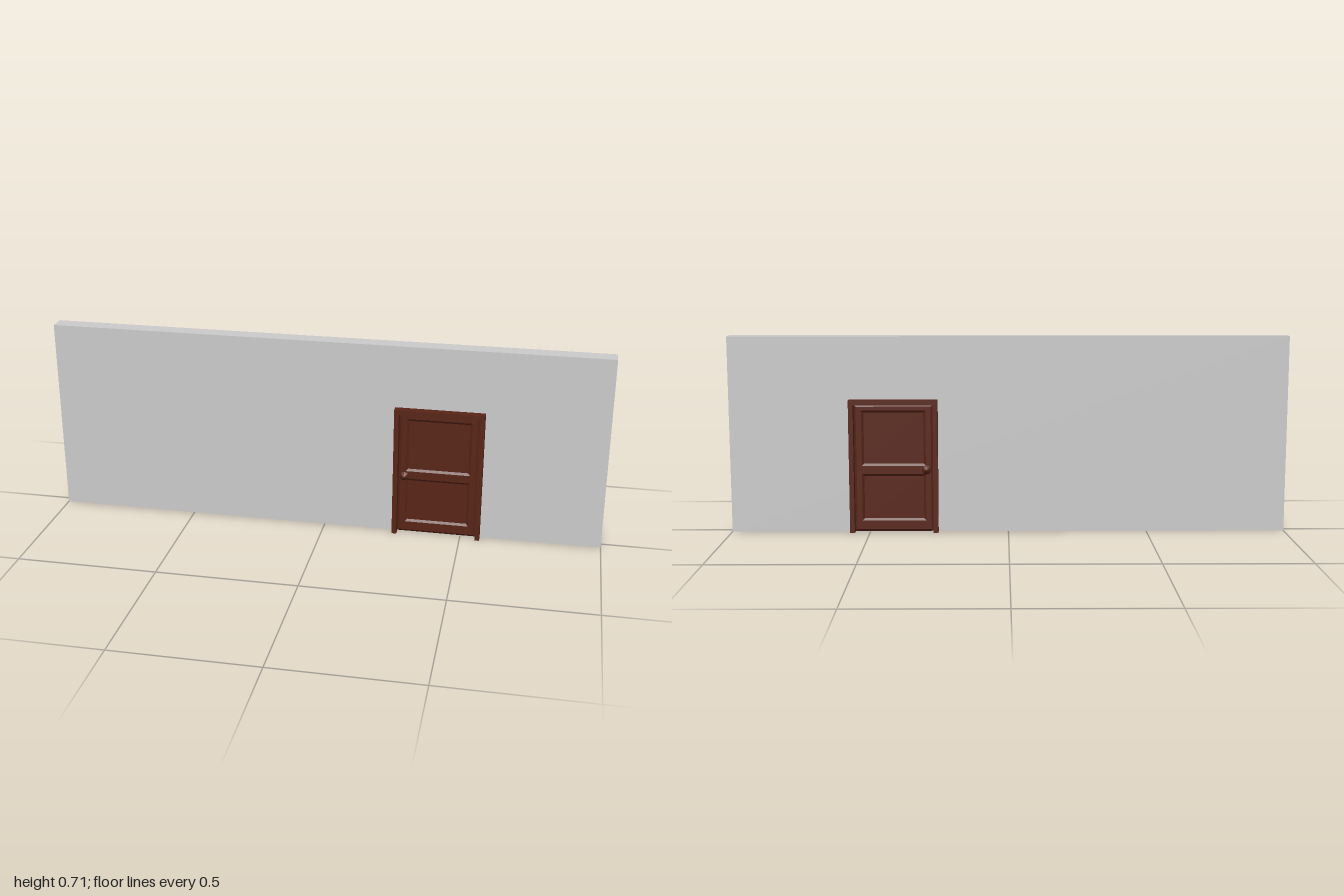
import * as THREE from 'three';

const WALL_HALF = 0.029, WALL_H = 0.708;
const DOOR_X = 0.412, DOOR_W = 0.318, DOOR_H = 0.482;
const JAMB = 0.017, FRAME_Z = 0.058;

function rect(T, x0, y0, x1, y1) {
  const p = new T();
  p.moveTo(x0, y0);
  p.lineTo(x1, y0);
  p.lineTo(x1, y1);
  p.lineTo(x0, y1);
  p.closePath();
  return p;
}

function add(parent, name, geometry, material, x = 0, y = 0, z = 0) {
  const mesh = new THREE.Mesh(geometry, material);
  mesh.name = name;
  mesh.position.set(x, y, z);
  parent.add(mesh);
  return mesh;
}

// One face of the door, facing +z, centred on x = 0
function createDoor(wood) {
  const door = new THREE.Group();
  const w = DOOR_W / 2, inner = w - JAMB, top = DOOR_H - JAMB;

  // Frame: two jambs and a lintel as one arch
  const arch = new THREE.Shape();
  [[-w, 0], [-inner, 0], [-inner, top], [inner, top], [inner, 0], [w, 0], [w, DOOR_H], [-w, DOOR_H]]
    .forEach(([x, y], i) => (i ? arch.lineTo(x, y) : arch.moveTo(x, y)));
  arch.closePath();
  const frameGeo = new THREE.ExtrudeGeometry(arch, { depth: FRAME_Z - WALL_HALF, bevelEnabled: false });
  add(door, 'doorFrame', frameGeo, wood, 0, 0, WALL_HALF);

  // Leaf with two chamfered panel recesses
  const panels = [[0.05, 0.205], [0.25, 0.435]], px = 0.107;
  const leaf = rect(THREE.Shape, -inner, 0.002, inner, top);
  panels.forEach(([y0, y1]) => leaf.holes.push(rect(THREE.Path, -px, y0, px, y1)));
  const bevel = 0.008;
  const leafGeo = new THREE.ExtrudeGeometry(leaf, {
    depth: 0.006, bevelEnabled: true, bevelSegments: 1,
    bevelThickness: 0.006, bevelSize: bevel, bevelOffset: -bevel,
  });
  add(door, 'doorLeaf', leafGeo, wood, 0, 0, WALL_HALF - 0.005);

  // Panel floors behind the recesses
  panels.forEach(([y0, y1]) => {
    const geo = new THREE.BoxGeometry(2 * px + 0.01, y1 - y0 + 0.01, 0.004);
    add(door, 'doorPanel', geo, wood, 0, (y0 + y1) / 2, WALL_HALF - 0.001);
  });

  // Faceted knob on a short stem
  const profile = [[0.007, 0.03], [0.007, 0.045], [0.017, 0.056], [0.012, 0.061], [0, 0.07]]
    .map(([r, z]) => new THREE.Vector2(r, z));
  const knobGeo = new THREE.LatheGeometry(profile, 8).rotateX(Math.PI / 2);
  const knobMat = wood.clone();
  knobMat.flatShading = true;
  add(door, 'knob', knobGeo, knobMat, -0.118, 0.231, 0);
  return door;
}

export function createModel() {
  const model = new THREE.Group();
  const grey = new THREE.MeshStandardMaterial({ color: 0xcccccc });
  const wood = new THREE.MeshStandardMaterial({ color: 0x582416 });

  add(model, 'wall', new THREE.BoxGeometry(2, WALL_H, 2 * WALL_HALF), grey, 0, WALL_H / 2, 0);

  const front = createDoor(wood);
  front.name = 'frontDoor';
  front.position.x = DOOR_X;

  // Same door on the back; the knob stays on the same x side
  const back = createDoor(wood);
  back.name = 'backDoor';
  back.position.x = DOOR_X;
  back.rotation.y = Math.PI;
  back.getObjectByName('knob').position.x *= -1;

  model.add(front, back);
  return model;
}
